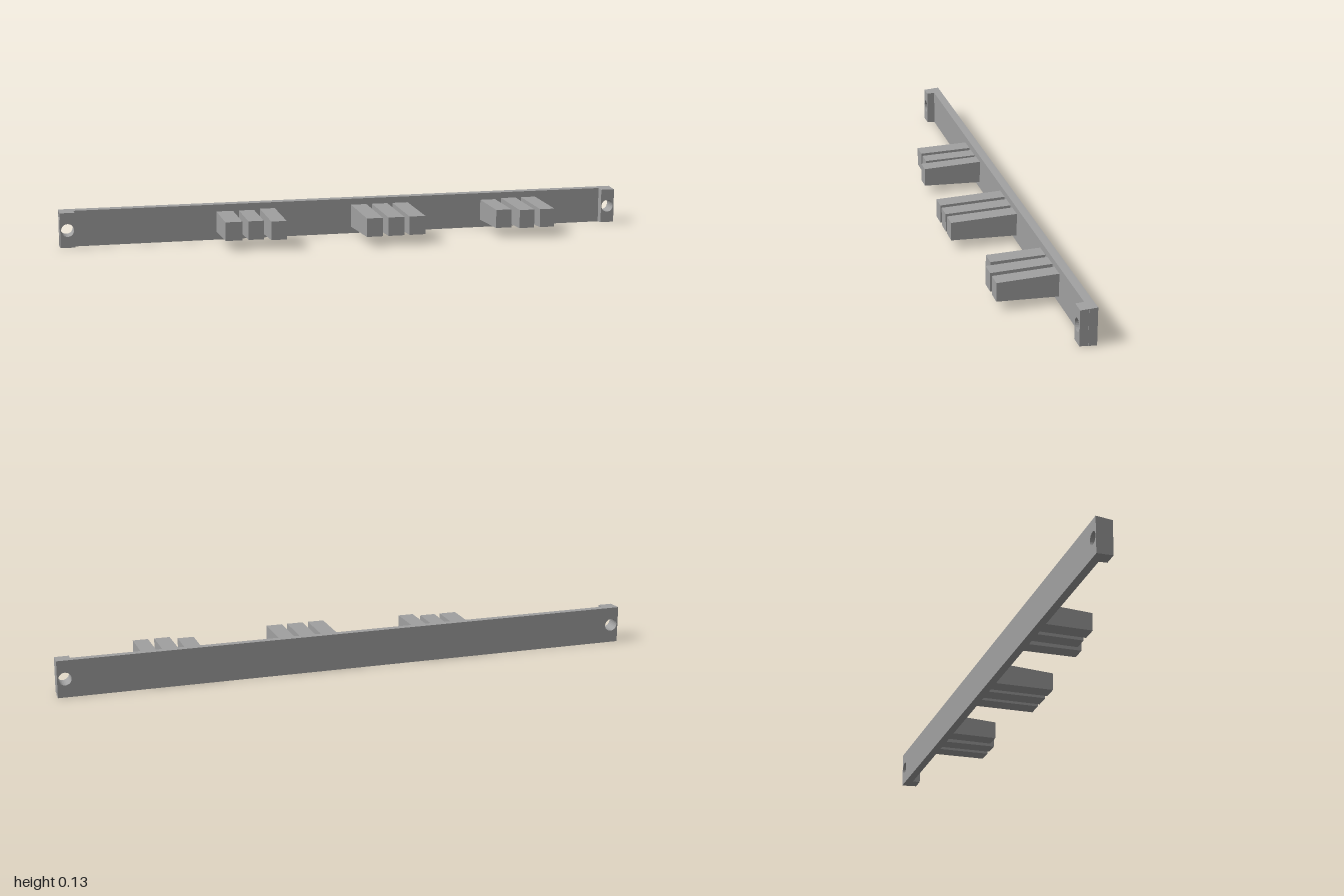
import * as THREE from 'three';

const MID = 0.0635;
const Z_BACK = -0.128, Z_FACE = -0.1, Z_PAD = -0.072;
const HOLE_X = 0.974;

// Extruded rectangle with screw holes; its height tapers from h0 at z0 to h1 at z1
function taperedPlate(x0, x1, z0, z1, h0, h1, holes, material) {
  const s = new THREE.Shape();
  s.moveTo(x0, -0.5 * h0);
  s.lineTo(x1, -0.5 * h0);
  s.lineTo(x1, 0.5 * h0);
  s.lineTo(x0, 0.5 * h0);
  s.closePath();
  for (const x of holes) {
    s.holes.push(new THREE.Path().absarc(x, 0, 0.022, 0, Math.PI * 2, true));
  }
  const g = new THREE.ExtrudeGeometry(s, { depth: z1 - z0, bevelEnabled: false, curveSegments: 12 });
  const p = g.attributes.position;
  for (let i = 0; i < p.count; i++) {
    const onRim = Math.abs(p.getY(i)) > 0.4 * h0;
    if (onRim && p.getZ(i) > 1e-5) p.setY(i, p.getY(i) * h1 / h0);
  }
  g.translate(0, MID, z0);
  g.computeVertexNormals();
  return new THREE.Mesh(g, material);
}

// Prong that narrows in height toward its tip
function prong(x0, x1, z1, h0, h1, material) {
  const g = new THREE.BoxGeometry(x1 - x0, 1, z1 - Z_FACE).toNonIndexed();
  const p = g.attributes.position;
  for (let i = 0; i < p.count; i++) p.setY(i, p.getY(i) * (p.getZ(i) > 0 ? h1 : h0));
  g.translate((x0 + x1) / 2, MID + 0.001, (Z_FACE + z1) / 2);
  g.computeVertexNormals();
  return new THREE.Mesh(g, material);
}

export function createModel() {
  const model = new THREE.Group();
  const grey = new THREE.MeshStandardMaterial({ color: 0xa0a0a0 });
  grey.name = 'grey';

  // Long back bar
  const bar = taperedPlate(-1, 1, Z_BACK, Z_FACE, 0.127, 0.1235, [-HOLE_X, HOLE_X], grey);
  bar.name = 'backBar';
  model.add(bar);

  // Raised mounting pads at both ends
  for (const side of [-1, 1]) {
    const a = side * 0.95, b = side * 0.999;
    const pad = taperedPlate(Math.min(a, b), Math.max(a, b), Z_FACE, Z_PAD, 0.1235, 0.12, [side * HOLE_X], grey);
    pad.name = side > 0 ? 'leftPad' : 'rightPad';
    model.add(pad);
  }

  // Three clusters of prongs: [x0, x1, tip z, root height, tip height]
  const clusters = {
    rightProngs: [[-0.46, -0.402, 0.082, 0.073, 0.064], [-0.381, -0.328, 0.082, 0.073, 0.064], [-0.307, -0.254, 0.104, 0.079, 0.064]],
    middleProngs: [[0.02, 0.076, 0.128, 0.079, 0.064], [0.096, 0.152, 0.128, 0.079, 0.064], [0.171, 0.227, 0.128, 0.079, 0.064]],
    leftProngs: [[0.498, 0.554, 0.082, 0.073, 0.064], [0.577, 0.631, 0.104, 0.079, 0.064], [0.652, 0.705, 0.104, 0.079, 0.064]],
  };
  for (const [name, list] of Object.entries(clusters)) {
    const group = new THREE.Group();
    group.name = name;
    for (const [x0, x1, z1, h0, h1] of list) {
      const m = prong(x0, x1, z1, h0, h1, grey);
      m.name = 'prong';
      group.add(m);
    }
    model.add(group);
  }
  return model;
}
